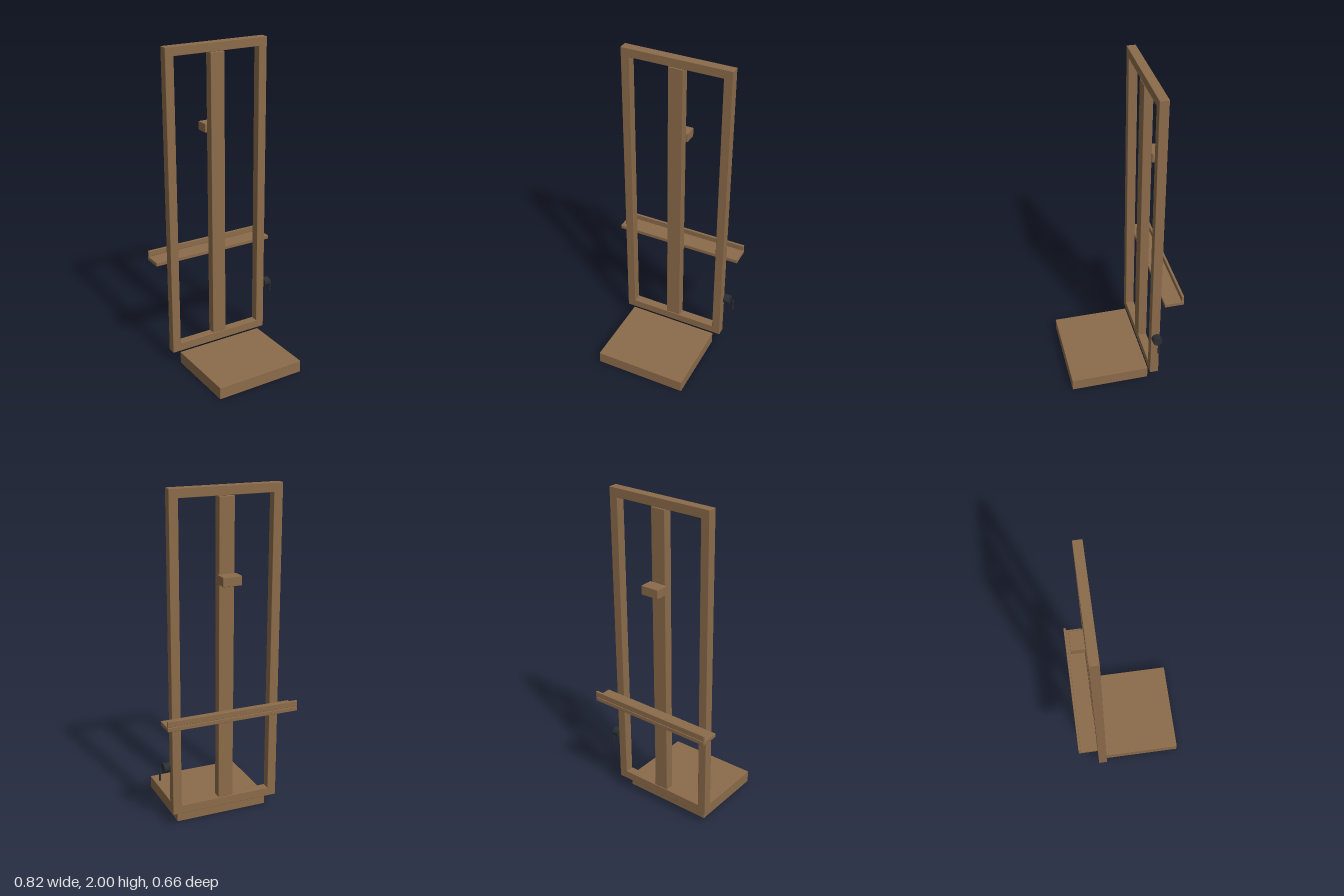
import * as THREE from 'three';
import { RoundedBoxGeometry } from 'three/addons/geometries/RoundedBoxGeometry.js';

const CX = -0.0035; // centre line of the woodwork

export function createModel() {
  const model = new THREE.Group();
  const wood = new THREE.MeshStandardMaterial({ color: 0x8b6b4a });
  const metal = new THREE.MeshStandardMaterial({ color: 0x2b2e32 });

  function add(name, geometry, material, x, y, z, parent = model) {
    const mesh = new THREE.Mesh(geometry, material);
    mesh.name = name;
    mesh.position.set(x, y, z);
    parent.add(mesh);
    return mesh;
  }

  // Softly eased board given by its width and its y and z ranges
  function board(name, width, y0, y1, z0, z1, x = 0, parent = model) {
    const geometry = new RoundedBoxGeometry(width, y1 - y0, z1 - z0, 2, 0.003);
    return add(name, geometry, wood, CX + x, (y0 + y1) / 2, (z0 + z1) / 2, parent);
  }

  // Base platform
  board('base', 0.58, 0, 0.078, -0.156, 0.33);

  // Upright frame: two posts, two rails and a central mast
  const back = -0.212, front = -0.158, bar = 0.054;
  const frame = new THREE.Group();
  frame.name = 'frame';
  model.add(frame);
  for (const side of [-1, 1]) {
    board(side > 0 ? 'leftPost' : 'rightPost', bar, 0.083, 2, back, front, side * 0.31, frame);
  }
  board('bottomRail', 0.674, 0.083, 0.083 + bar, back, front, 0, frame);
  board('topRail', 0.674, 2 - bar, 2, back, front, 0, frame);
  board('mast', 0.092, 0.14, 1.943, back, front, 0, frame);

  // Canvas shelf with a raised lip, and the top clamp block
  board('shelf', 0.812, 0.675, 0.7, -0.33, -0.214);
  board('shelfLip', 0.812, 0.702, 0.738, -0.33, -0.315);
  board('topClamp', 0.114, 1.46, 1.515, -0.291, back);

  // Height crank: horizontal hub with a hanging handle
  const crank = new THREE.Group();
  crank.name = 'crank';
  model.add(crank);
  const hub = add('crankHub', new THREE.CylinderGeometry(0.029, 0.029, 0.038, 20), metal, 0.365, 0.39, -0.186, crank);
  hub.rotation.z = Math.PI / 2;
  add('crankHandle', new THREE.CylinderGeometry(0.0055, 0.0055, 0.078, 12), metal, 0.404, 0.353, -0.186, crank);

  return model;
}
